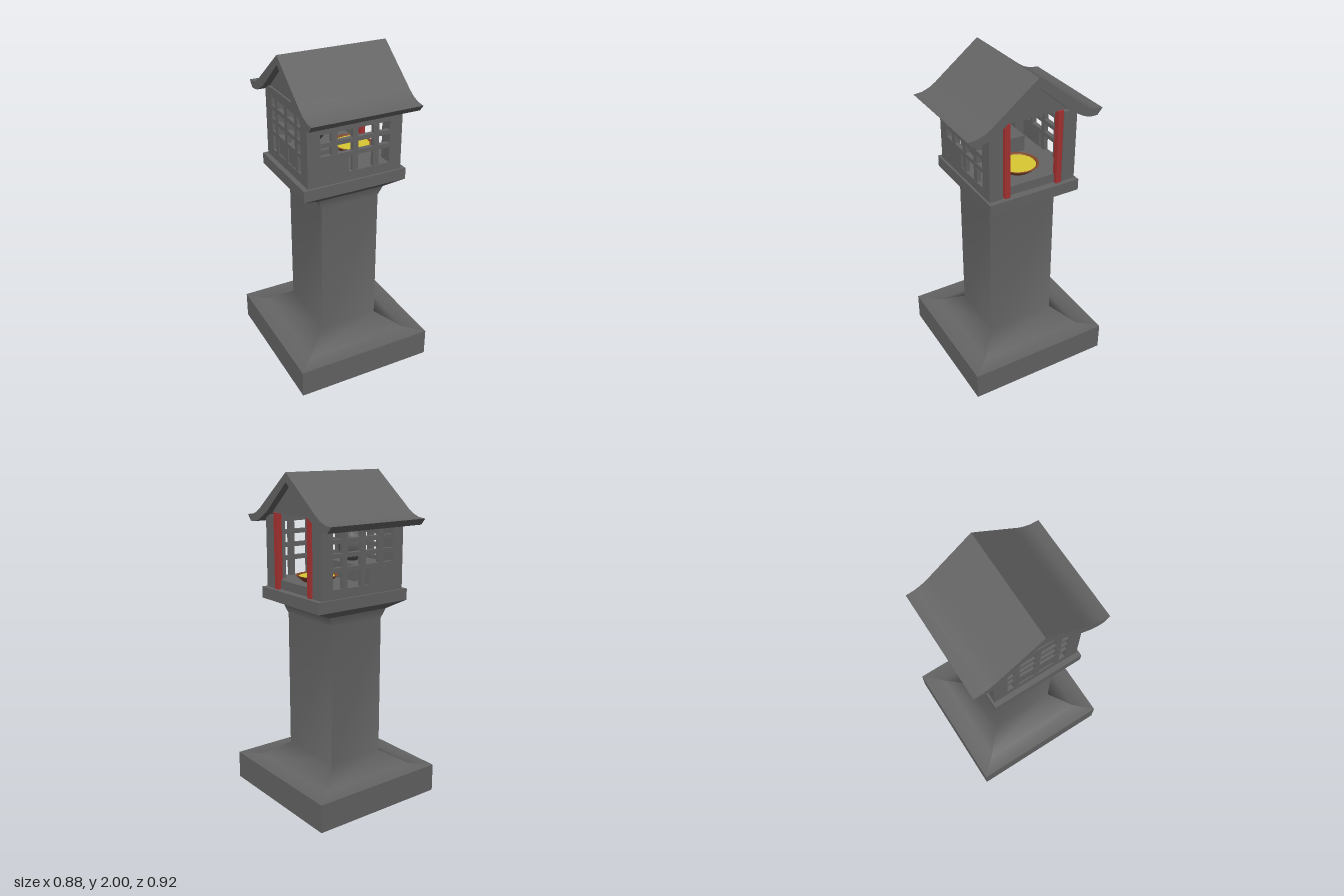
import * as THREE from 'three';
import { toCreasedNormals } from 'three/addons/utils/BufferGeometryUtils.js';

const mat = (color, extra = {}) => new THREE.MeshStandardMaterial({ color, ...extra });
const stone = mat(0x646464);
const shell = mat(0x646464, { side: THREE.DoubleSide });
const figureGrey = mat(0x5a5a5a);
const red = mat(0xa83232);
const brown = mat(0x84482a, { side: THREE.DoubleSide });
const yellow = mat(0xd8c832);

function add(parent, name, geometry, material, x = 0, y = 0, z = 0) {
  const mesh = new THREE.Mesh(geometry, material);
  mesh.name = name;
  mesh.position.set(x, y, z);
  parent.add(mesh);
  return mesh;
}

// box given by its lower and upper limits on each axis
function block(parent, name, [x0, x1], [y0, y1], [z0, z1]) {
  return add(parent, name, new THREE.BoxGeometry(x1 - x0, y1 - y0, z1 - z0), stone,
    (x0 + x1) / 2, (y0 + y1) / 2, (z0 + z1) / 2);
}

// open shell through rectangular sections [halfX, halfZ, y]: smooth upwards, sharp at the corners
function rectLoft(sections) {
  const corners = [[1, 1], [1, -1], [-1, -1], [-1, 1]];
  const pos = [], index = [];
  for (let j = 0; j < 4; j++) {
    const start = pos.length / 3;
    for (const [hx, hz, y] of sections)
      for (const [sx, sz] of [corners[j], corners[(j + 1) % 4]]) pos.push(sx * hx, y, sz * hz);
    for (let i = 0; i < sections.length - 1; i++) {
      const a = start + i * 2;
      index.push(a, a + 1, a + 3, a, a + 3, a + 2);
    }
  }
  const g = new THREE.BufferGeometry();
  g.setAttribute('position', new THREE.Float32BufferAttribute(pos, 3));
  g.setIndex(index);
  g.computeVertexNormals();
  return g;
}

// z-y outline extruded along x, centred
function extrudeAlongX(points, length) {
  const shape = new THREE.Shape(points.map(([z, y]) => new THREE.Vector2(z, y)));
  const g = new THREE.ExtrudeGeometry(shape, { depth: length, bevelEnabled: false });
  g.translate(0, 0, -length / 2);
  g.rotateY(Math.PI / 2);
  return toCreasedNormals(g, 0.5);
}

// lattice panel in the x-y plane between the corner posts
function lattice(name, halfWidth) {
  const panel = new THREE.Group();
  panel.name = name;
  const w = [-halfWidth, halfWidth], d = [-0.014, 0.014];
  block(panel, 'sill', w, [1.305, 1.36], d);
  block(panel, 'topRail', w, [1.695, 1.75], d);
  for (const y of [1.47, 1.55, 1.63]) block(panel, 'crossBar', w, [y - 0.013, y + 0.013], d);
  for (const x of [-0.133, 0, 0.133])
    block(panel, 'uprightBar', [x - 0.018, x + 0.018], [1.36, 1.7], [-0.013, 0.013]);
  return panel;
}

export function createModel() {
  const model = new THREE.Group();
  model.name = 'shrineLantern';

  // hollow plinth, flared column and ledge
  const pedestal = new THREE.Group();
  pedestal.name = 'pedestal';
  model.add(pedestal);
  const plinthTop = [0.44, 0.458, 0.175], neck = [0.212, 0.238, 1.19];
  const ledgeLow = [0.33, 0.292, 1.235], ledgeTop = [0.33, 0.292, 1.305];
  add(pedestal, 'plinth', rectLoft([[0.44, 0.458, 0], plinthTop]), shell);
  add(pedestal, 'column', rectLoft([plinthTop, [0.33, 0.342, 0.175],
    [0.188, 0.22, 0.265], [0.188, 0.22, 1.13], neck]), shell);
  add(pedestal, 'ledgeUnderside', rectLoft([neck, ledgeLow]), shell);
  add(pedestal, 'ledgeRim', rectLoft([ledgeLow, ledgeTop]), shell);
  add(pedestal, 'ledgeTop', rectLoft([ledgeTop, [0.27, 0.25, 1.305]]), shell);

  // chamber
  const house = new THREE.Group();
  house.name = 'chamber';
  model.add(house);
  block(house, 'floor', [-0.285, 0.285], [1.3, 1.36], [-0.255, 0.255]);
  for (const s of [-1, 1]) {
    for (const sx of [-1, 1])
      add(house, 'cornerPost', new THREE.BoxGeometry(0.08, 0.44, 0.085), stone,
        sx * 0.26, 1.525, s * 0.236);
    const side = lattice(s > 0 ? 'frontLattice' : 'backLattice', 0.225);
    block(side, 'lowerPanel', [-0.225, -0.04], [1.36, 1.46], [-0.014, 0.014]);
    side.position.z = s * 0.264;
    house.add(side);
    add(house, 'redPost', new THREE.BoxGeometry(0.034, 0.455, 0.034), red, 0.29, 1.532, s * 0.168);
  }
  const rear = lattice('rearLattice', 0.2);
  rear.rotation.y = Math.PI / 2;
  rear.position.x = -0.285;
  house.add(rear);

  // roof with upturned eaves
  const half = [
    [0.25, 1.806], [0.28, 1.782], [0.32, 1.757], [0.365, 1.74], [0.42, 1.735],
    [0.388, 1.697], [0.35, 1.697], [0.3, 1.71], [0.21, 1.762],
  ];
  const mirrored = half.map(([z, y]) => [-z, y]).reverse();
  add(model, 'roof', extrudeAlongX([[0, 2], ...half, [0, 1.945], ...mirrored], 0.68), stone);
  for (const s of [-1, 1])
    add(model, 'gable', extrudeAlongX([[-0.23, 1.757], [0.23, 1.757], [0, 1.96]], 0.03),
      stone, s * 0.28);

  // ribbed figure on a platform
  block(house, 'platform', [-0.292, -0.04], [1.355, 1.46], [-0.15, 0.15]);
  const figure = new THREE.Group();
  figure.name = 'figure';
  figure.position.x = -0.138;
  house.add(figure);
  const ribbed = (r) => toCreasedNormals(new THREE.SphereGeometry(r, 8, 10), 0.6);
  add(figure, 'body', ribbed(0.085), figureGrey, 0, 1.557, 0).scale.y = 1.22;
  add(figure, 'head', ribbed(0.06), figureGrey, 0, 1.695, 0).scale.y = 0.92;

  // offering bowl
  const profile = [[0, 1.362], [0.085, 1.362], [0.126, 1.398], [0.112, 1.398], [0.106, 1.388]];
  add(house, 'bowl', toCreasedNormals(new THREE.LatheGeometry(
    profile.map(([r, y]) => new THREE.Vector2(r, y)), 20), 0.5), brown, 0.128);
  add(house, 'offering', new THREE.CylinderGeometry(0.109, 0.09, 0.02, 20), yellow, 0.128, 1.382);

  return model;
}
